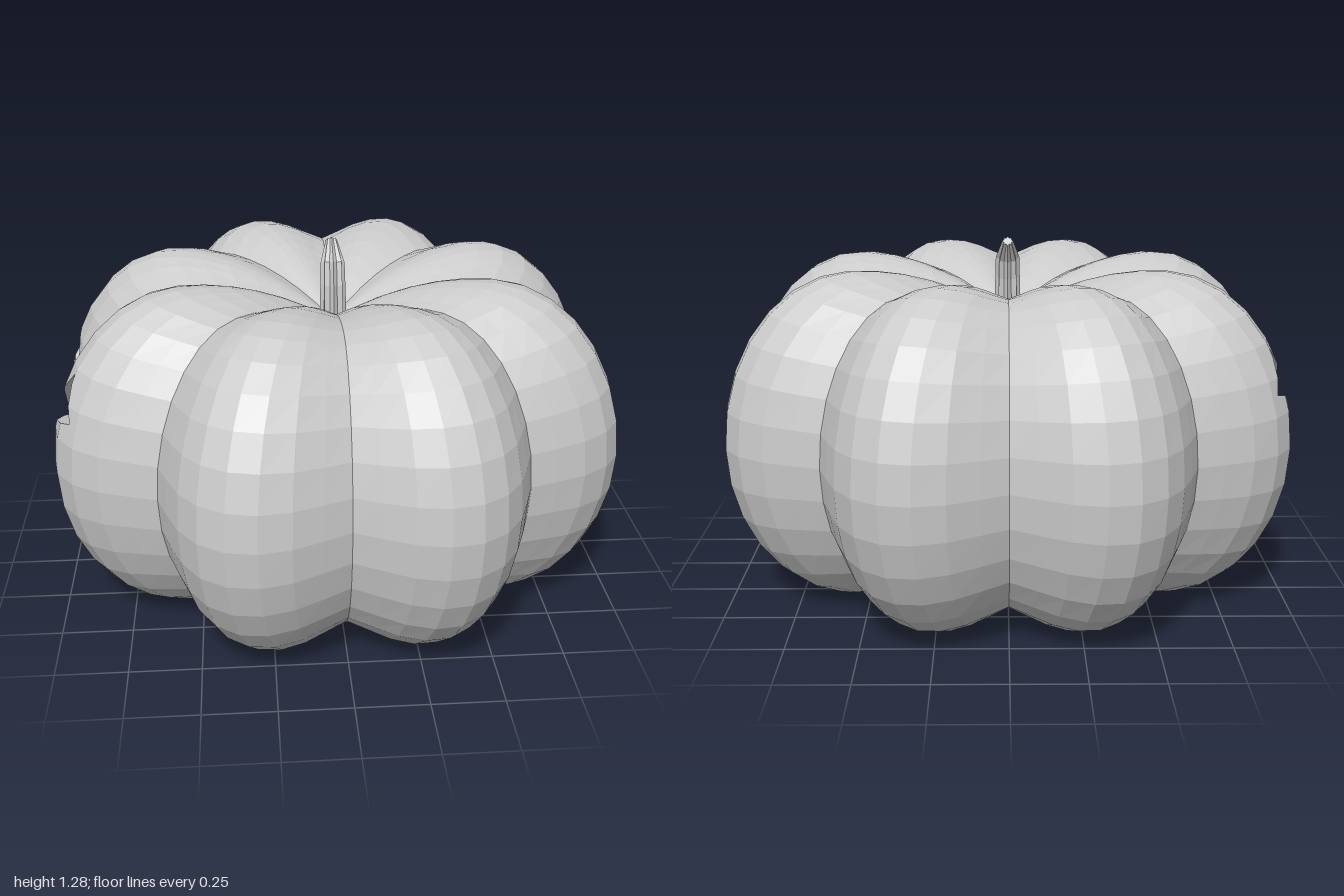
import * as THREE from 'three';

const COLUMNS = 64, DEPTH = 0.08;
const material = new THREE.MeshStandardMaterial({ color: 0xcccccc, flatShading: true });

// Point on the ribbed body: eight lobes, dimpled at both poles. t runs 0 (bottom) to 26 (top).
function bodyPoint(i, t) {
  const angle = (i / COLUMNS) * Math.PI * 2;
  const lobe = Math.pow(Math.abs(Math.sin(4 * angle)), 1.3);
  const reach = 0.885 + 0.175 * lobe;
  const crest = reach * 0.56;
  const half = 0.53 + 0.06 * lobe;
  let r, h;
  if (t < 6 || t > 20) {
    const u = (t < 6 ? t : 26 - t) / 6;
    r = crest * u;
    h = (half - (half - 0.39) * (1 - u) ** 2) * (t < 6 ? -1 : 1);
  } else {
    const phi = ((t - 13) / 14) * Math.PI;
    r = crest + (reach - crest) * Math.cos(phi);
    h = half * Math.sin(phi);
  }
  return new THREE.Vector3(r * Math.sin(angle), 0.6 + h, r * Math.cos(angle));
}

// Triangles of a closed ring grid
function gridTriangles(columns, rows, point) {
  const out = [];
  for (let j = 0; j < rows; j++) {
    for (let i = 0; i < columns; i++) {
      const a = point(i, j), b = point((i + 1) % columns, j);
      const c = point((i + 1) % columns, j + 1), d = point(i, j + 1);
      out.push([a, b, c], [a, c, d]);
    }
  }
  return out;
}

// Mesh from a list of convex polygons
function polygonMesh(polygons, name) {
  const positions = [];
  for (const p of polygons) {
    for (let k = 1; k < p.length - 1; k++) {
      const area = new THREE.Vector3().subVectors(p[k], p[0])
        .cross(new THREE.Vector3().subVectors(p[k + 1], p[0])).length();
      if (area < 1e-9) continue;
      for (const v of [p[0], p[k], p[k + 1]]) positions.push(v.x, v.y, v.z);
    }
  }
  const geometry = new THREE.BufferGeometry();
  geometry.setAttribute('position', new THREE.Float32BufferAttribute(positions, 3));
  geometry.computeVertexNormals();
  const mesh = new THREE.Mesh(geometry, material);
  mesh.name = name;
  return mesh;
}

// Signed distance from the line a-b in the (z, y) plane, positive on its left
function side(p, a, b) {
  const dz = b[0] - a[0], dy = b[1] - a[1];
  return (dz * (p.y - a[1]) - dy * (p.z - a[0])) / Math.hypot(dz, dy);
}

function split(polygon, a, b) {
  const inside = [], outside = [];
  polygon.forEach((p, k) => {
    const q = polygon[(k + 1) % polygon.length];
    const dp = side(p, a, b), dq = side(q, a, b);
    if (dp >= 0) inside.push(p);
    if (dp <= 0) outside.push(p);
    if (dp * dq < 0) {
      const m = p.clone().lerp(q, dp / (dp - dq));
      inside.push(m);
      outside.push(m);
    }
  });
  return { inside, outside };
}

// Cuts one convex outline out of the skin; returns the remaining skin and the sunken faces
function carve(skin, outline) {
  const rest = [], pit = [];
  const inward = (v) => new THREE.Vector3(v.x + DEPTH, v.y, v.z);
  const edges = outline.map((p, k) => [p, outline[(k + 1) % outline.length]]);
  for (const polygon of skin) {
    if (polygon.some((p) => p.x > -0.7) || polygon.every((p) => p.y > 1.05)) {
      rest.push(polygon);
      continue;
    }
    // Leave polygons that lie wholly beyond one edge untouched
    if (edges.some(([a, b]) => polygon.every((p) => side(p, a, b) <= 0))) {
      rest.push(polygon);
      continue;
    }
    let piece = polygon;
    for (const [a, b] of edges) {
      const { inside, outside } = split(piece, a, b);
      if (outside.length > 2) rest.push(outside);
      piece = inside;
      if (piece.length < 3) break;
    }
    if (piece.length < 3) continue;
    pit.push(piece.map(inward));
    piece.forEach((p, k) => {
      const q = piece[(k + 1) % piece.length];
      const onRim = edges.some(([a, b]) =>
        Math.abs(side(p, a, b)) < 1e-6 && Math.abs(side(q, a, b)) < 1e-6);
      if (onRim) pit.push([p, q, inward(q), inward(p)]);
    });
  }
  return { rest, pit };
}

export function createModel() {
  const group = new THREE.Group();

  // Carved outlines as (z, y), counter-clockwise seen from -x; each is mirrored in z
  const eye = [[0.12, 0.7], [0.44, 0.8], [0.36, 0.95]];
  const teeth = [
    [[0.24, 0.515], [0.31, 0.43], [0.38, 0.57]],
    [[0.13, 0.48], [0.2, 0.4], [0.26, 0.525]],
    [[0.03, 0.455], [0.09, 0.385], [0.15, 0.49]],
  ];
  const mirror = (outline) => outline.map(([z, y]) => [-z, y]).reverse();
  const link = [[-0.07, 0.44], [0.07, 0.44], [0.07, 0.465], [-0.07, 0.465]];
  const cuts = [
    ['leftEye', [eye]],
    ['rightEye', [mirror(eye)]],
    ['mouth', [...teeth, ...teeth.map(mirror), link]],
  ];

  // Body with carved face
  let skin = gridTriangles(COLUMNS, 26, bodyPoint);
  for (const [name, outlines] of cuts) {
    const faces = [];
    for (const outline of outlines) {
      const { rest, pit } = carve(skin, outline);
      skin = rest;
      faces.push(...pit);
    }
    group.add(polygonMesh(faces, name));
  }
  group.add(polygonMesh(skin, 'body'));

  // Ribbed stem, bending backwards: height, z, radius, tilt
  const rings = [
    [0.96, 0.03, 0.05, 0],
    [1.13, 0.02, 0.045, 0.1],
    [1.205, 0.005, 0.043, 0.4],
    [1.272, -0.056, 0.02, 0.75],
  ];
  const stemPoint = (i, j) => {
    const [y, z, radius, tilt] = rings[j];
    const angle = (i / 16) * Math.PI * 2;
    const r = radius * (i % 2 ? 0.75 : 1);
    const depth = r * Math.cos(angle);
    return new THREE.Vector3(r * Math.sin(angle), y + depth * Math.sin(tilt), z + depth * Math.cos(tilt));
  };
  const stem = gridTriangles(16, rings.length - 1, stemPoint);
  const tip = new THREE.Vector3(0, rings[3][0], rings[3][1]);
  for (let i = 0; i < 16; i++) stem.push([tip, stemPoint(i, 3), stemPoint((i + 1) % 16, 3)]);
  group.add(polygonMesh(stem, 'stem'));

  return group;
}
